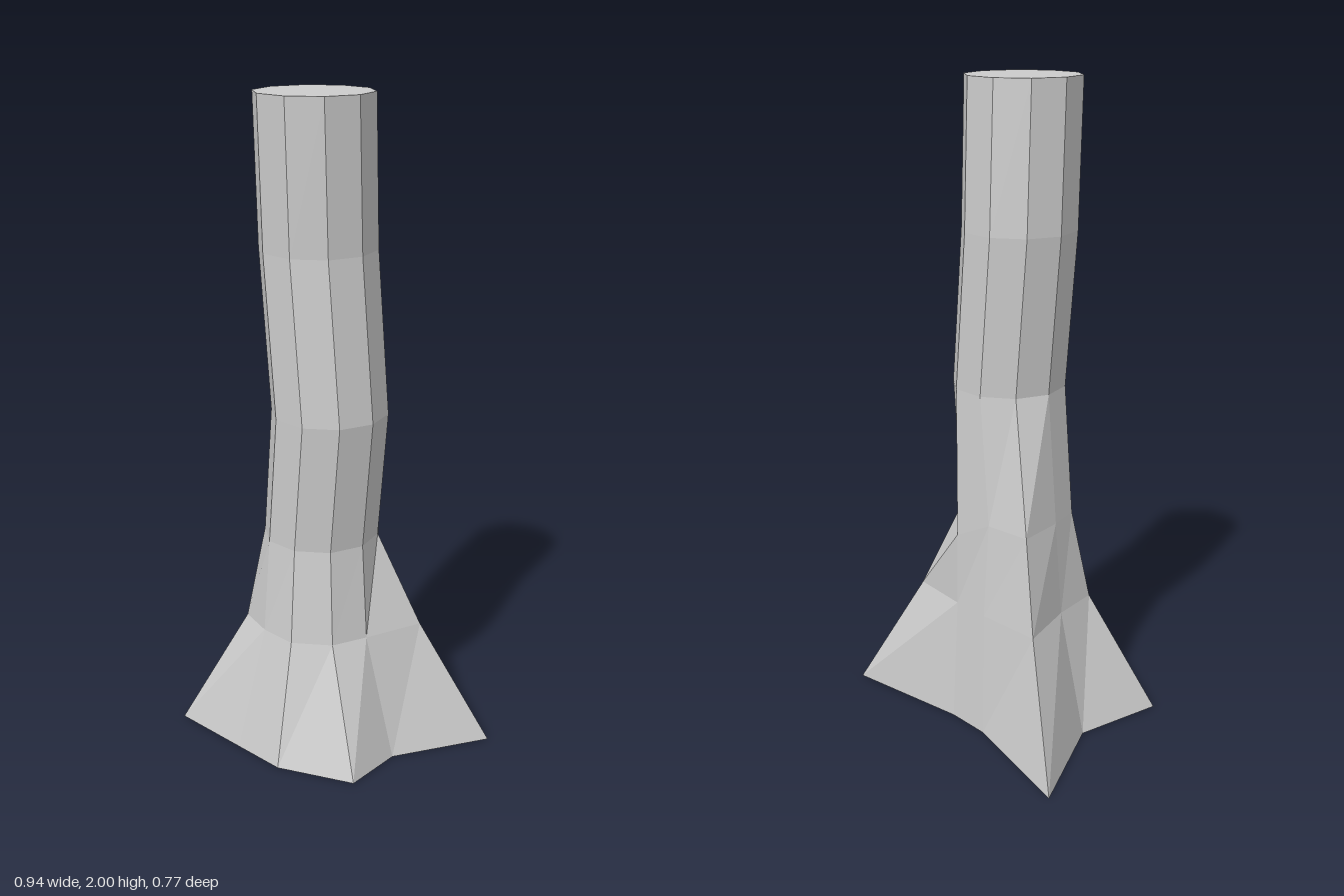
import * as THREE from 'three';

const SIDES = 10;

// Regular ten-sided ring of the trunk, starting at +z and turning towards +x
function ring(cx, y, cz, r = 0.176) {
  return Array.from({ length: SIDES }, (_, i) => {
    const a = (i / SIDES) * Math.PI * 2;
    return [cx + r * Math.sin(a), y, cz + r * Math.cos(a)];
  });
}

// Irregular ring from [x, z] pairs at one height
const outline = (y, pts) => pts.map(([x, z]) => [x, y, z]);

// Flat-shaded skin through the rings, closed by a fan at each end
function loft(rings, bottomCentre, topCentre) {
  const pos = [];
  const tri = (...pts) => pts.forEach((p) => pos.push(...p));
  const last = rings[rings.length - 1];
  for (let i = 0; i < SIDES; i++) {
    const j = (i + 1) % SIDES;
    for (let k = 0; k < rings.length - 1; k++) {
      const a = rings[k], b = rings[k + 1];
      tri(a[i], a[j], b[j]);
      tri(a[i], b[j], b[i]);
    }
    tri(bottomCentre, rings[0][j], rings[0][i]);
    tri(topCentre, last[i], last[j]);
  }
  const geo = new THREE.BufferGeometry();
  geo.setAttribute('position', new THREE.Float32BufferAttribute(pos, 3));
  geo.computeVertexNormals();
  return geo;
}

export function createModel() {
  const group = new THREE.Group();
  group.name = 'treeTrunk';

  // Root tips spreading on the ground
  const base = outline(0, [
    [-0.05, 0.385], [0.195, 0.36], [0.24, 0.175], [0.47, -0.05], [0.065, -0.12],
    [-0.07, -0.167], [-0.42, -0.387], [-0.345, -0.015], [-0.47, 0.25], [-0.218, 0.331],
  ]);
  // Root flare
  const flare = outline(0.38, [
    [-0.05, 0.286], [0.07, 0.247], [0.14, 0.155], [0.25, -0.003], [0.07, -0.083],
    [-0.05, -0.125], [-0.255, -0.185], [-0.247, 0.015], [-0.265, 0.175], [-0.165, 0.245],
  ]);
  // Root collar, with two corners pulled out by the roots
  const collar = ring(-0.052, 0.67, 0.078);
  collar[4] = [0.07, 0.61, -0.08];
  collar[6] = [-0.2, 0.67, -0.13];

  const rings = [
    base, flare, collar,
    ring(-0.01, 1.07, 0.1), ring(-0.052, 1.555, 0.084), ring(-0.052, 2, 0.103),
  ];
  const trunk = new THREE.Mesh(
    loft(rings, [-0.05, 0, 0.1], [-0.052, 2, 0.103]),
    new THREE.MeshStandardMaterial({ color: 0xcccccc, flatShading: true }),
  );
  trunk.name = 'trunk';
  group.add(trunk);
  return group;
}
